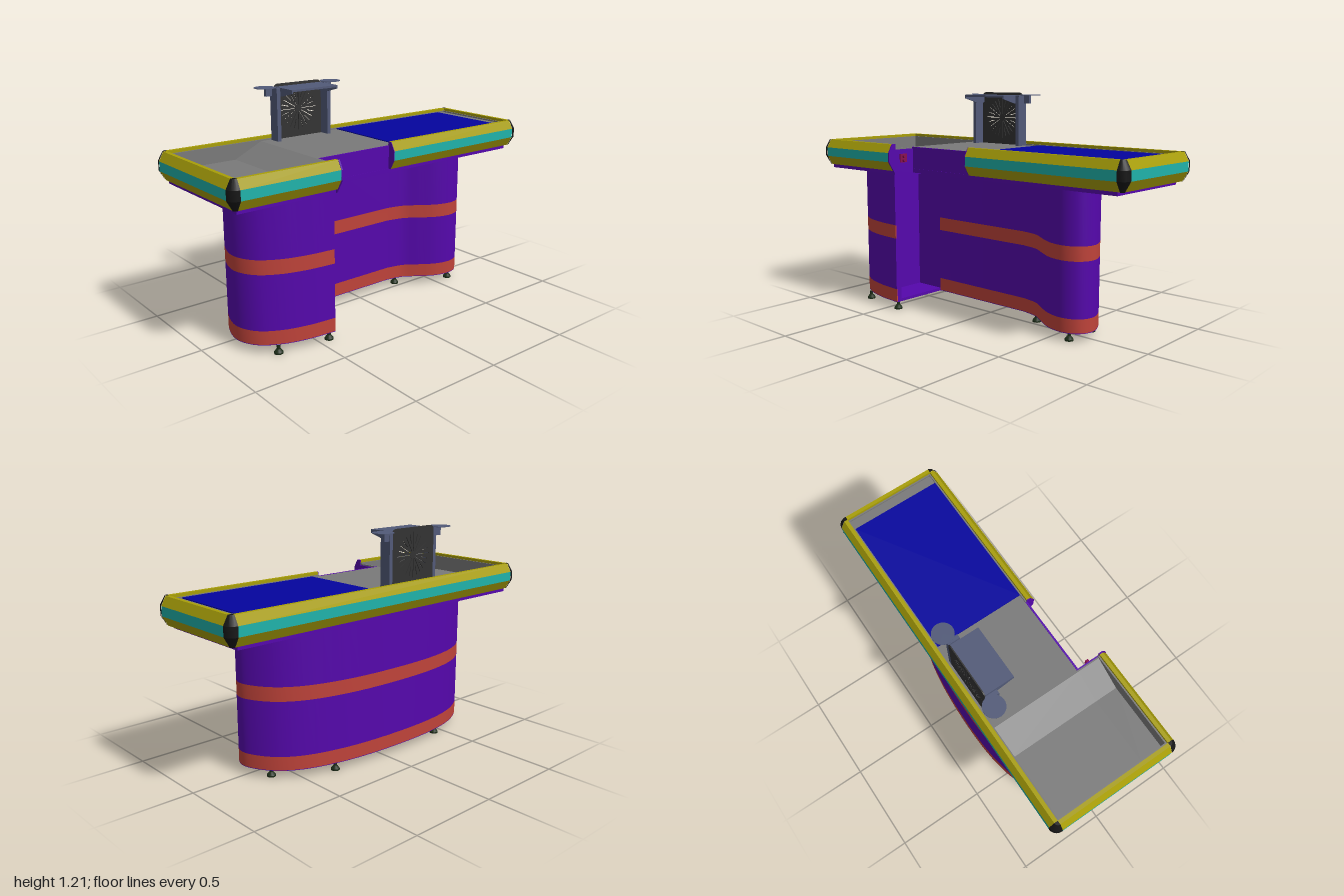
import * as THREE from 'three';
import { toCreasedNormals } from 'three/addons/utils/BufferGeometryUtils.js';

const C = { purple: 0x5507ac, red: 0xbf433a, yellow: 0xa89e08, teal: 0x20b2aa, black: 0x161616,
  grey: 0x7a7a7a, blue: 0x04049e, slate: 0x525a78, dark: 0x333333, foot: 0x1c2c18, signal: 0x8a1050 };

export function createModel() {
  const model = new THREE.Group();
  const mats = {};
  const mat = (name) => (mats[name] ??= new THREE.MeshStandardMaterial({ color: C[name] }));

  function add(name, geo, color, parent = model) {
    const mesh = new THREE.Mesh(geo, mat(color));
    mesh.name = name;
    parent.add(mesh);
    return mesh;
  }
  function group(name) {
    const g = new THREE.Group();
    g.name = name;
    model.add(g);
    return g;
  }
  const shapeOf = (pts) => new THREE.Shape(pts.map(([a, b]) => new THREE.Vector2(a, b)));
  const extrude = (shape, depth) =>
    new THREE.ExtrudeGeometry(shape, { depth, bevelEnabled: false, curveSegments: 8 });
  // box given by its limits
  const box = (x0, x1, y0, y1, z0, z1) => new THREE.BoxGeometry(x1 - x0, y1 - y0, z1 - z0)
    .translate((x0 + x1) / 2, (y0 + y1) / 2, (z0 + z1) / 2);
  // horizontal slab from an (x, z) outline
  const slab = (pts, y0, y1) => toCreasedNormals(
    extrude(shapeOf(pts.map(([x, z]) => [x, -z])), y1 - y0).rotateX(-Math.PI / 2).translate(0, y0, 0), 0.5);

  // ---- Curved cabinet body, in coloured bands, with a niche open towards +x
  const curve = new THREE.CatmullRomCurve3([
    [-0.42, 0.322], [-0.56, 0.308], [-0.7, 0.27], [-0.805, 0.2], [-0.85, 0.09], [-0.805, -0.07],
    [-0.71, -0.19], [-0.57, -0.27], [-0.38, -0.313], [-0.08, -0.324], [0.25, -0.297], [0.48, -0.235],
    [0.6, -0.16], [0.67, -0.065], [0.695, 0.02], [0.665, 0.092], [0.59, 0.125], [0.49, 0.108],
    [0.4, 0.055], [0.32, 0.003], [0.22, -0.02],
  ].map(([x, z]) => new THREE.Vector3(x, 0, z)));
  const niche = [[-0.42, -0.03], [-0.61, -0.03], [-0.61, 0.292], [-0.42, 0.316]];
  const outline = [...curve.getPoints(100).map((p) => [p.x, p.z]), [-0.42, -0.02], ...niche];

  const body = group('cabinetBody');
  [['bottomPlate', 0.045, 0.048, 'purple'], ['kickBand', 0.048, 0.12, 'red'],
    ['lowerPanel', 0.12, 0.41, 'purple'], ['middleBand', 0.41, 0.485, 'red'],
    ['upperPanel', 0.485, 0.77, 'purple']]
    .forEach(([name, y0, y1, color]) => add(name, slab(outline, y0, y1), color, body));

  const liner = [...niche, [-0.42, 0.287], [-0.6, 0.287], [-0.6, -0.02], [-0.42, -0.02]];
  add('nicheLiner', slab(liner, 0.045, 0.77), 'purple', body);
  add('nicheFloor', slab(niche, 0.044, 0.06), 'purple', body);
  add('nicheCeiling', slab(niche, 0.755, 0.77), 'purple', body);

  // ---- Adjustable feet
  const feet = group('feet');
  const footProfile = [[0, 0], [0.023, 0], [0.023, 0.008], [0.012, 0.022], [0.009, 0.024], [0.009, 0.046]]
    .map(([r, y]) => new THREE.Vector2(r, y));
  const footGeo = toCreasedNormals(new THREE.LatheGeometry(footProfile, 16), 0.5);
  [[-0.72, 0.26], [-0.44, 0.295], [0.295, -0.04], [0.605, 0.09],
    [0.605, -0.1], [0.315, -0.26], [-0.44, -0.265], [-0.72, -0.115]]
    .forEach(([x, z]) => add('foot', footGeo, 'foot', feet).position.set(x, 0, z));

  // ---- Counter: under plate, deck with sunken bagging tray, belt
  const counter = group('counter');
  add('underPlate', slab([[-0.955, 0.328], [-0.955, -0.328], [0.935, -0.328], [0.935, 0.2],
    [-0.41, 0.2], [-0.41, 0.328]], 0.77, 0.792), 'purple', counter);
  const deck = shapeOf([[-0.955, 0.79], [0.955, 0.79], [0.955, 0.912], [-0.42, 0.912], [-0.58, 0.835], [-0.955, 0.835]]);
  add('deck', extrude(deck, 0.515).translate(0, 0, -0.325), 'grey', counter);
  const tray = shapeOf([[-0.955, 0.79], [-0.412, 0.79], [-0.412, 0.912], [-0.42, 0.912], [-0.58, 0.835], [-0.955, 0.835]]);
  add('trayFloor', extrude(tray, 0.135).translate(0, 0, 0.19), 'grey', counter);
  add('conveyorBelt', box(0.085, 0.893, 0.9, 0.917, -0.317, 0.187), 'blue', counter);
  add('recessPanel', box(-0.412, 0.036, 0.77, 0.913, 0.188, 0.198), 'purple', counter);

  // ---- Bumper rail: each straight run is a stack of coloured strips
  const strips = [
    ['railLower', 'yellow', [[0, 0.79], [0.015, 0.79], [0.045, 0.84], [0, 0.84]]],
    ['railMiddle', 'teal', [[0, 0.84], [0.045, 0.84], [0.045, 0.89], [0, 0.89]]],
    ['railUpper', 'yellow', [[0, 0.89], [0.045, 0.89], [0.02, 0.935], [0, 0.935]]],
    ['railLining', 'grey', [[-0.008, 0.79], [0, 0.79], [0, 0.92], [-0.008, 0.92]]],
  ];
  const rail = group('bumperRail');
  // start x, start z, length, turn about y
  const Q = Math.PI / 2;
  [[-0.41, 0.325, 0.545, -Q], [-0.955, 0.325, 0.65, 2 * Q], [-0.955, -0.325, 1.91, Q],
    [0.955, -0.325, 0.52, 0], [0.955, 0.195, 0.92, -Q]].forEach(([x, z, length, turn]) => {
    for (const [name, color, pts] of strips) {
      const strip = add(name, extrude(shapeOf(pts), length), color, rail);
      strip.position.set(x, 0, z);
      strip.rotation.y = turn;
    }
  });
  // rounded black corners
  const cornerProfile = [[0, 0.789], [0.016, 0.789], [0.046, 0.84], [0.046, 0.89], [0.021, 0.936], [0, 0.936]]
    .map(([r, y]) => new THREE.Vector2(r, y));
  [[-0.955, 0.325, -Q], [0.955, 0.195, 0], [0.955, -0.325, Q], [-0.955, -0.325, 2 * Q]].forEach(([x, z, start]) => {
    const geo = toCreasedNormals(new THREE.LatheGeometry(cornerProfile, 5, start, Q), 0.4);
    add('railCorner', geo, 'black', rail).position.set(x, 0, z);
  });

  // ---- End plates closing the cut rail ends
  const plate = [[0.19, 0.77], [0.33, 0.77], [0.34, 0.789], [0.372, 0.84], [0.372, 0.89], [0.347, 0.936],
    [0.325, 0.936], [0.325, 0.905], [0.19, 0.905]];
  add('trayEndPlate', extrude(shapeOf(plate), 0.008).rotateY(-Q).translate(-0.404, 0, 0), 'purple', counter);
  const cap = [[0.195, 0.79], [0.21, 0.79], [0.24, 0.84], [0.24, 0.89], [0.215, 0.935], [0.195, 0.935]];
  add('beltEndPlate', extrude(shapeOf(cap), 0.004).rotateY(-Q).translate(0.036, 0, 0), 'purple', counter);

  // ---- Switch on the tray end plate
  const control = group('switch');
  add('switchPlate', box(-0.404, -0.398, 0.833, 0.88, 0.248, 0.296), 'signal', control);
  [0.867, 0.845].forEach((y) =>
    add('switchButton', new THREE.CylinderGeometry(0.01, 0.01, 0.014, 16).rotateZ(Q)
      .translate(-0.391, y, 0.272), 'signal', control));

  // ---- Screen stand: slotted panel, posts, shelf and two round trays
  const stand = group('screenStand');
  const mid = -0.185;
  const panel = new THREE.Shape();
  const w = 0.153, r = 0.03, top = 1.209, low = 0.9;
  panel.moveTo(-w, low).lineTo(w, low).lineTo(w, top - r);
  panel.quadraticCurveTo(w, top, w - r, top).lineTo(r - w, top).quadraticCurveTo(-w, top, -w, top - r);
  for (let i = 0; i < 24; i++) {
    const a = (i / 24) * Math.PI * 2;
    const r0 = i % 2 ? 0.06 : 0.02, r1 = i % 6 === 0 ? 0.12 : 0.11, h = 0.002;
    const at = (d, s) => new THREE.Vector2(d * Math.cos(a) - s * Math.sin(a), 1.065 + d * Math.sin(a) + s * Math.cos(a));
    panel.holes.push(new THREE.Path([at(r0, -h), at(r0, h), at(r1, h), at(r1, -h)]));
  }
  add('slottedPanel', extrude(panel, 0.006).translate(mid, 0, -0.31), 'dark', stand);
  add('shelf', box(mid - 0.147, mid + 0.147, 1.184, 1.195, -0.304, -0.145), 'slate', stand);

  const bracket = shapeOf([[-0.304, 1.15], [-0.24, 1.15], [-0.145, 1.176], [-0.145, 1.19], [-0.304, 1.19]]);
  for (const s of [-1, 1]) {
    const x = mid + s * 0.163;
    add('post', box(x - 0.011, x + 0.011, 0.9, 1.195, -0.31, -0.245), 'slate', stand);
    add('shelfBracket', extrude(bracket, 0.008).rotateY(-Q).translate(mid + s * 0.143 + 0.004, 0, 0), 'slate', stand);
    const arm = [mid + s * 0.17, mid + s * 0.212].sort((a, b) => a - b);
    add('trayArm', box(arm[0], arm[1], 1.15, 1.195, -0.308, -0.29), 'slate', stand);
    add('roundTray', new THREE.CylinderGeometry(0.056, 0.056, 0.003, 32)
      .translate(mid + s * 0.213, 1.1965, -0.3), 'slate', stand);
  }
  return model;
}
